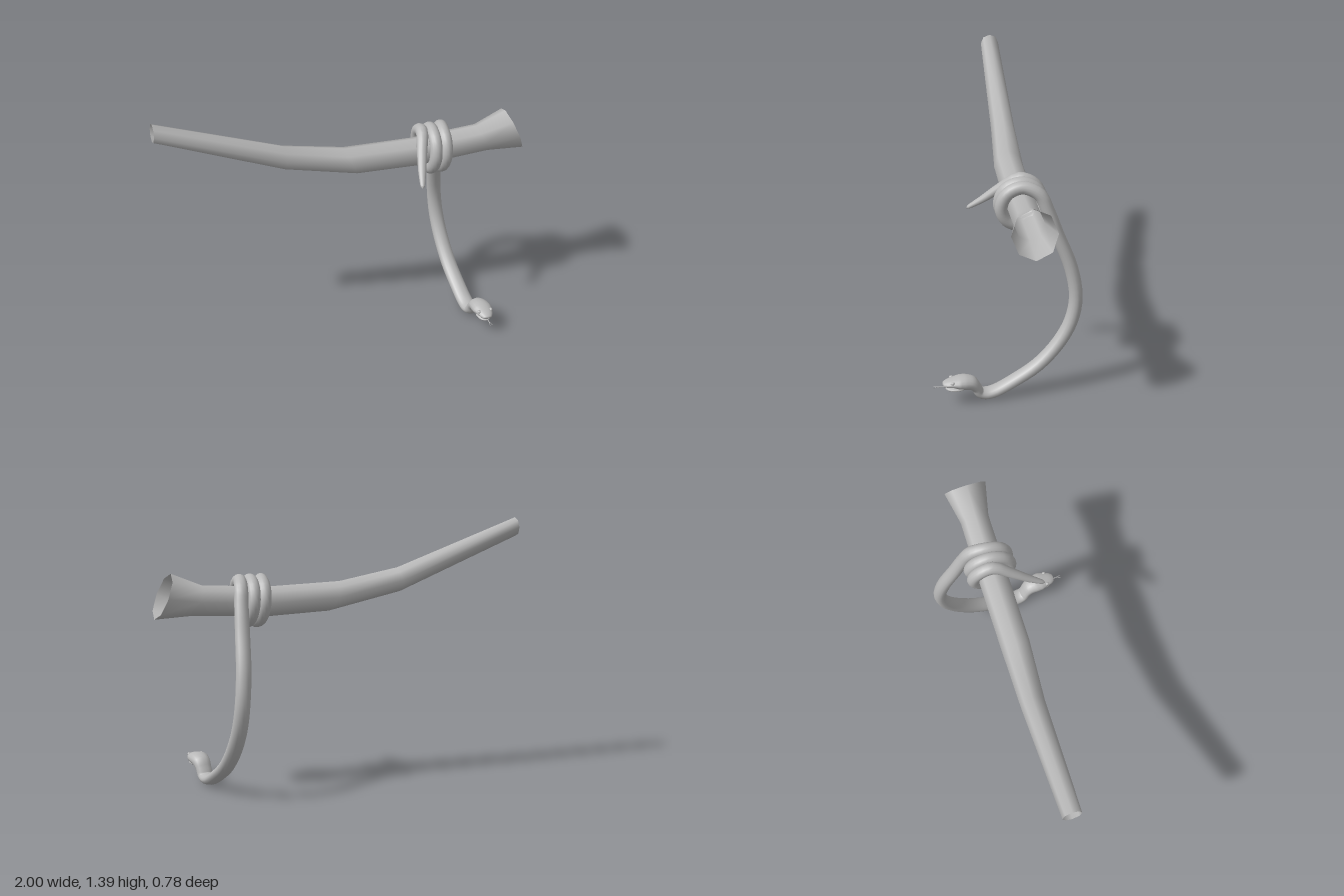
import * as THREE from 'three';

const grey = new THREE.MeshStandardMaterial({ color: 0xb8b8b8, side: THREE.DoubleSide });
grey.name = 'plain grey';

// Joins closed rings of points, listed along the length, into a smooth skin
function skin(name, rings) {
  const n = rings[0].length, index = [];
  for (let i = 0; i < rings.length - 1; i++) {
    for (let j = 0; j < n; j++) {
      const a = i * n + j, b = i * n + (j + 1) % n;
      index.push(a, b, a + n, b, b + n, a + n);
    }
  }
  const geometry = new THREE.BufferGeometry().setFromPoints(rings.flat());
  geometry.setIndex(index);
  geometry.computeVertexNormals();
  const mesh = new THREE.Mesh(geometry, grey);
  mesh.name = name;
  return mesh;
}

// Sweeps an ellipse along sections [x, y, z, half width, half height]
function sweep(name, sections, steps, sides) {
  const curve = new THREE.CatmullRomCurve3(sections.map(s => new THREE.Vector3(s[0], s[1], s[2])));
  const last = sections.length - 1, rings = [];
  for (let k = 0; k <= last * steps; k++) {
    const t = k / (last * steps), i = Math.min(Math.floor(k / steps), last - 1), f = k / steps - i;
    const p = curve.getPoint(t), tangent = curve.getTangent(t);
    const side = new THREE.Vector3(1, 0, 0).addScaledVector(tangent, -tangent.x).normalize();
    const up = tangent.clone().cross(side);
    const w = THREE.MathUtils.lerp(sections[i][3], sections[i + 1][3], f);
    const h = THREE.MathUtils.lerp(sections[i][4], sections[i + 1][4], f);
    rings.push(Array.from({ length: sides }, (_, j) => {
      const a = j / sides * Math.PI * 2;
      return p.clone().addScaledVector(side, w * Math.cos(a)).addScaledVector(up, h * Math.sin(a));
    }));
  }
  return skin(name, rings);
}

function ellipsoid(name, x, y, z, rx, ry, rz) {
  const mesh = new THREE.Mesh(new THREE.SphereGeometry(1, 14, 10), grey);
  mesh.position.set(x, y, z);
  mesh.scale.set(rx, ry, rz);
  mesh.name = name;
  return mesh;
}

function strip(name, from, to, width) {
  const a = new THREE.Vector3(...from), b = new THREE.Vector3(...to);
  const mesh = new THREE.Mesh(new THREE.BoxGeometry(width, 0.002, a.distanceTo(b)), grey);
  mesh.position.copy(a).lerp(b, 0.5);
  mesh.lookAt(b);
  mesh.name = name;
  return mesh;
}

export function createModel() {
  const model = new THREE.Group();
  model.name = 'snakeOnBranch';

  // Hollow eight-sided branch: [x, y, z, radius, lean of the top edge in x]
  const branch = [
    [-1, 1.35, -0.16, 0.05, 0.003],
    [-0.325, 1.09, -0.13, 0.064, 0.008],
    [0.035, 1.015, -0.105, 0.077, -0.03],
    [0.4, 1.003, -0.095, 0.078, -0.005],
    [0.775, 1.025, -0.085, 0.077, -0.025],
    [0.955, 1.053, -0.08, 0.115, -0.045],
  ];
  model.add(skin('branch', branch.map(([x, y, z, r, lean]) =>
    Array.from({ length: 8 }, (_, j) => {
      const c = Math.cos(j * Math.PI / 4), s = Math.sin(j * Math.PI / 4);
      return new THREE.Vector3(x + lean * c, y + r * c, z + r * s);
    }))));

  // Tail tip, reaching the top of the branch
  const body = [
    [0.347, 0.935, 0.163, 0.002, 0.002],
    [0.35, 0.942, 0.153, 0.012, 0.01],
    [0.372, 0.99, 0.085, 0.022, 0.018],
    [0.4, 1.055, 0.005, 0.028, 0.025],
  ];
  // Two turns around the branch
  for (let i = 0; i <= 16; i++) {
    const a = i * Math.PI / 4;
    body.push([0.435 + 0.115 * i / 16, 1.012 + 0.107 * Math.cos(a), -0.092 - 0.107 * Math.sin(a), 0.034, 0.033]);
  }
  // Hanging body, neck and head
  body.push(
    [0.568, 1.085, -0.172, 0.036, 0.034],
    [0.58, 1, -0.213, 0.037, 0.034],
    [0.592, 0.87, -0.262, 0.039, 0.034],
    [0.61, 0.69, -0.331, 0.04, 0.035],
    [0.625, 0.53, -0.356, 0.04, 0.035],
    [0.633, 0.4, -0.333, 0.041, 0.035],
    [0.641, 0.28, -0.268, 0.042, 0.035],
    [0.651, 0.165, -0.16, 0.043, 0.034],
    [0.661, 0.085, -0.03, 0.044, 0.031],
    [0.668, 0.042, 0.06, 0.045, 0.029],
    [0.672, 0.033, 0.11, 0.045, 0.028],
    [0.676, 0.044, 0.145, 0.043, 0.027],
    [0.68, 0.078, 0.163, 0.043, 0.026],
    [0.684, 0.108, 0.19, 0.048, 0.035],
    [0.687, 0.118, 0.225, 0.054, 0.036],
    [0.689, 0.121, 0.255, 0.055, 0.031],
    [0.69, 0.122, 0.285, 0.046, 0.022],
    [0.69, 0.118, 0.315, 0.036, 0.017],
    [0.69, 0.114, 0.333, 0.023, 0.011],
    [0.69, 0.112, 0.338, 0.002, 0.002],
  );
  model.add(sweep('snakeBody', body, 4, 16));

  // Jaw and eyes
  model.add(ellipsoid('lowerJaw', 0.69, 0.09, 0.268, 0.04, 0.011, 0.057));
  for (const s of [-1, 1]) {
    model.add(ellipsoid(s > 0 ? 'leftEye' : 'rightEye', 0.69 + s * 0.035, 0.133, 0.29, 0.009, 0.009, 0.011));
    model.add(strip('tongueFork', [0.69, 0.1, 0.352], [0.69 + s * 0.007, 0.1, 0.385], 0.002));
  }
  model.add(strip('tongue', [0.69, 0.1, 0.28], [0.69, 0.1, 0.354], 0.004));
  return model;
}
